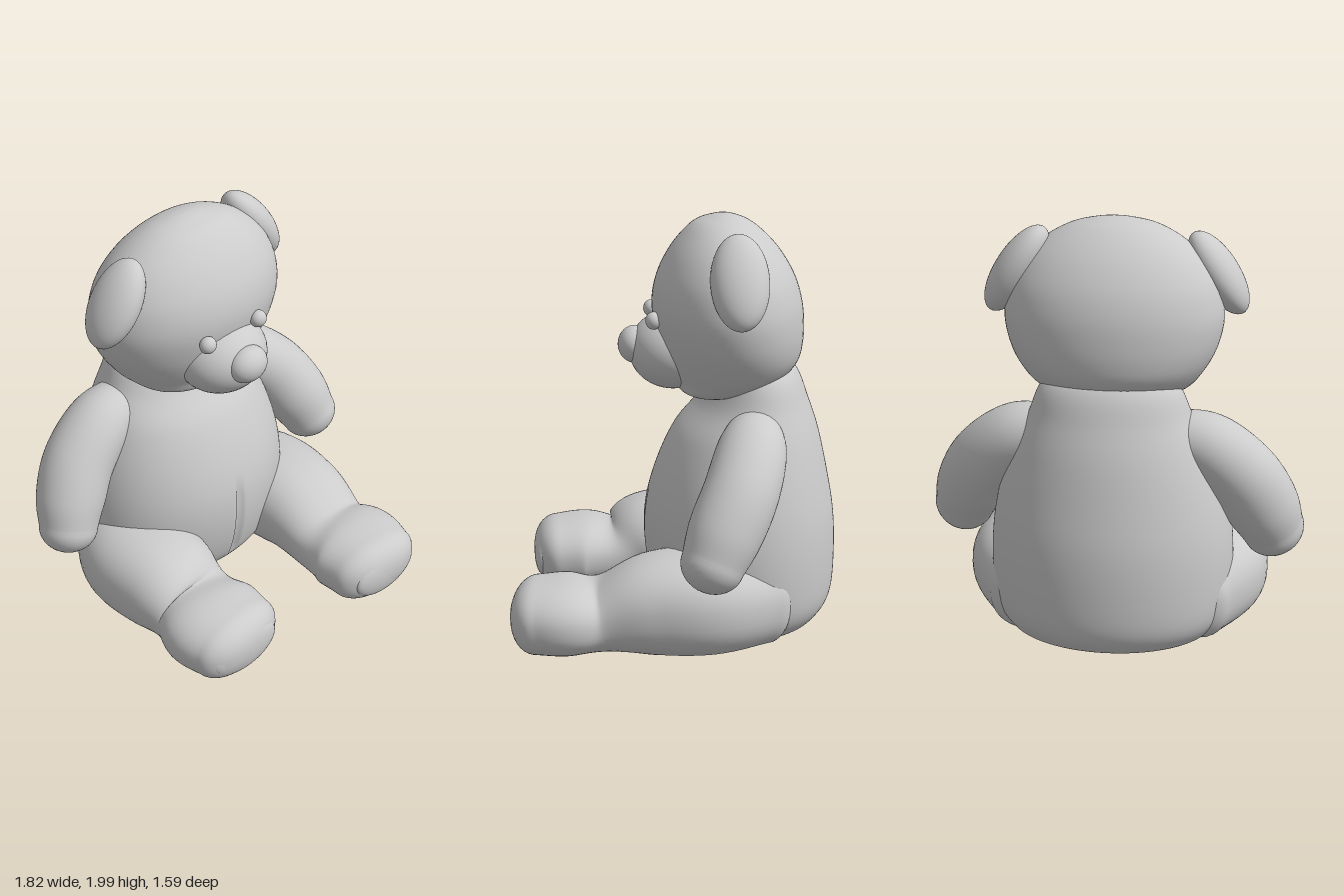
import * as THREE from 'three';

const mat = new THREE.MeshStandardMaterial({ color: 0xcccccc, roughness: 0.8 });
const FLOOR = 0.012;

// Closed smooth skin over a grid of rings; point(i, a) returns a Vector3
function skin(rows, cols, point) {
  const pos = [], idx = [];
  for (let i = 0; i <= rows; i++) {
    const mid = new THREE.Vector3();
    const ring = [];
    for (let j = 0; j < cols; j++) {
      const p = point(i, (j / cols) * Math.PI * 2);
      mid.addScaledVector(p, 1 / cols);
      ring.push(p);
    }
    // the first and last rings collapse to a point to close the ends
    for (const p of ring) {
      const q = i === 0 || i === rows ? mid : p;
      pos.push(q.x, Math.max(FLOOR, q.y), q.z);
    }
  }
  for (let i = 0; i < rows; i++) {
    for (let j = 0; j < cols; j++) {
      const k = (j + 1) % cols;
      const a = i * cols + j, b = i * cols + k, c = a + cols, d = b + cols;
      idx.push(a, b, d, a, d, c);
    }
  }
  const g = new THREE.BufferGeometry();
  g.setAttribute('position', new THREE.Float32BufferAttribute(pos, 3));
  g.setIndex(idx);
  g.computeVertexNormals();
  return g;
}

const spline = (pts) => new THREE.CatmullRomCurve3(pts, false, 'catmullrom');

// Upright form from sections [y, zBack, zFront, halfWidth], with an optional dent rule
function upright(sections, rows, cols, dent = () => 0) {
  const depth = spline(sections.map((s) => new THREE.Vector3(s[1], s[0], s[2])));
  const width = spline(sections.map((s) => new THREE.Vector3(s[3], 0, 0)));
  return skin(rows, cols, (i, a) => {
    const t = i / rows, d = depth.getPoint(t), w = width.getPoint(t).x;
    const p = new THREE.Vector3(w * Math.sin(a), d.y, (d.x + d.z) / 2 + ((d.z - d.x) / 2) * Math.cos(a));
    if (Math.cos(a) > 0) p.z -= dent(p.x, p.y);
    return p;
  });
}

// Stuffed limb along sections [x, y, z, sideRadius, upRadius] with rounded ends
function limb(sections, capLength, power = 1) {
  const path = spline(sections.map((s) => new THREE.Vector3(s[0], s[1], s[2])));
  const radii = spline(sections.map((s) => new THREE.Vector3(s[3], s[4], 0)));
  const cap = 10, body = 36, rows = body + cap * 2;
  const up = new THREE.Vector3(0, 1, 0);
  const round = (v) => Math.sign(v) * Math.abs(v) ** power;
  return skin(rows, 48, (i, a) => {
    const t = THREE.MathUtils.clamp((i - cap) / body, 0, 1);
    const over = i < cap ? (i - cap) / cap : Math.max(0, (i - cap - body) / cap);
    const shrink = Math.cos((over * Math.PI) / 2) ** power;
    const T = path.getTangent(t);
    const S = new THREE.Vector3().crossVectors(up, T).normalize();
    const U = new THREE.Vector3().crossVectors(T, S);
    const r = radii.getPoint(t);
    return path.getPoint(t)
      .addScaledVector(T, Math.sin((over * Math.PI) / 2) * capLength)
      .addScaledVector(S, r.x * shrink * round(Math.cos(a)))
      .addScaledVector(U, r.y * shrink * round(Math.sin(a)));
  });
}

export function createModel() {
  const model = new THREE.Group();
  model.name = 'teddyBear';
  const add = (name, geometry) => {
    const mesh = new THREE.Mesh(geometry, mat);
    mesh.name = name;
    model.add(mesh);
    return mesh;
  };
  const ball = (name, x, y, z, rx, ry, rz) => {
    const mesh = add(name, new THREE.SphereGeometry(1, 40, 28));
    mesh.position.set(x, y, z);
    mesh.scale.set(rx, ry, rz);
    return mesh;
  };

  // Torso with a flat seat and a stitched groove down the tummy
  const seam = (x, y) => {
    const along = THREE.MathUtils.smoothstep(y, 0.1, 0.18) * (1 - THREE.MathUtils.smoothstep(y, 0.5, 0.66));
    return 0.025 * along * Math.exp(-((x / 0.012) ** 2));
  };
  add('torso', upright([
    [0.012, -0.5, -0.2, 0.2], [0.012, -0.67, -0.03, 0.44], [0.06, -0.745, 0.04, 0.51],
    [0.16, -0.79, 0.1, 0.56], [0.35, -0.8, 0.14, 0.58], [0.55, -0.79, 0.14, 0.57],
    [0.75, -0.755, 0.09, 0.53], [0.95, -0.71, 0, 0.46], [1.1, -0.66, -0.12, 0.385],
    [1.25, -0.6, -0.2, 0.32], [1.35, -0.5, -0.25, 0.2],
  ], 80, 160, seam));

  // Head, wider than deep, with a tucked chin
  add('head', upright([
    [1.13, -0.2, -0.1, 0.08], [1.155, -0.35, -0.03, 0.26], [1.22, -0.52, 0, 0.36],
    [1.3, -0.6, 0.04, 0.425], [1.4, -0.625, 0.075, 0.48], [1.52, -0.625, 0.1, 0.51],
    [1.62, -0.61, 0.1, 0.505], [1.72, -0.575, 0.075, 0.475], [1.82, -0.515, 0.025, 0.41],
    [1.9, -0.445, -0.035, 0.32], [1.96, -0.37, -0.1, 0.21], [1.99, -0.3, -0.18, 0.1],
    [2.0, -0.25, -0.23, 0.02],
  ], 72, 72));

  // Face
  ball('muzzle', 0, 1.345, 0, 0.23, 0.19, 0.215);
  ball('nose', 0, 1.37, 0.185, 0.105, 0.09, 0.082);
  ball('rightEye', -0.17, 1.51, 0.1, 0.042, 0.042, 0.038);
  ball('leftEye', 0.148, 1.515, 0.1, 0.042, 0.042, 0.038);

  // Ears, leaning outward, the right one set a little further forward
  ball('leftEar', 0.45, 1.75, -0.28, 0.1, 0.235, 0.135).rotation.z = 0.58;
  ball('rightEar', -0.475, 1.735, -0.185, 0.095, 0.22, 0.135).rotation.z = -0.58;

  // Arms: the left one swings forward, the right one hangs further back
  const arm = (name, side, zs) => add(name, limb([
    [side * 0.3, 1.0, zs[0], 0.13, 0.13], [side * 0.46, 0.95, zs[1], 0.165, 0.16],
    [side * 0.615, 0.81, zs[2], 0.175, 0.175], [side * 0.71, 0.65, zs[3], 0.17, 0.175],
    [side * 0.765, 0.52, zs[4], 0.145, 0.15],
  ], 0.13));
  arm('leftArm', 1, [-0.37, -0.34, -0.28, -0.2, -0.14]);
  arm('rightArm', -1, [-0.38, -0.37, -0.35, -0.31, -0.27]);

  // Legs: plump thighs, pinched ankles and flat-soled feet
  const leg = (name, side, reach) => add(name, limb([
    [side * 0.36, 0.2, -0.4, 0.23, 0.22], [side * 0.44, 0.22, -0.14, 0.29, 0.245],
    [side * 0.455, 0.215, 0.12, 0.265, 0.235], [side * 0.44, 0.165, 0.29 + reach, 0.235, 0.165],
    [side * 0.45, 0.17, 0.45 + reach, 0.275, 0.175], [side * 0.44, 0.165, 0.59 + reach, 0.255, 0.17],
  ], 0.13, 0.88));
  leg('leftLeg', 1, 0.07);
  leg('rightLeg', -1, -0.01);

  // Sewn pads on the soles
  ball('leftFootPad', 0.45, 0.16, 0.74, 0.2, 0.125, 0.05);
  ball('rightFootPad', -0.45, 0.16, 0.66, 0.2, 0.125, 0.05);

  return model;
}
